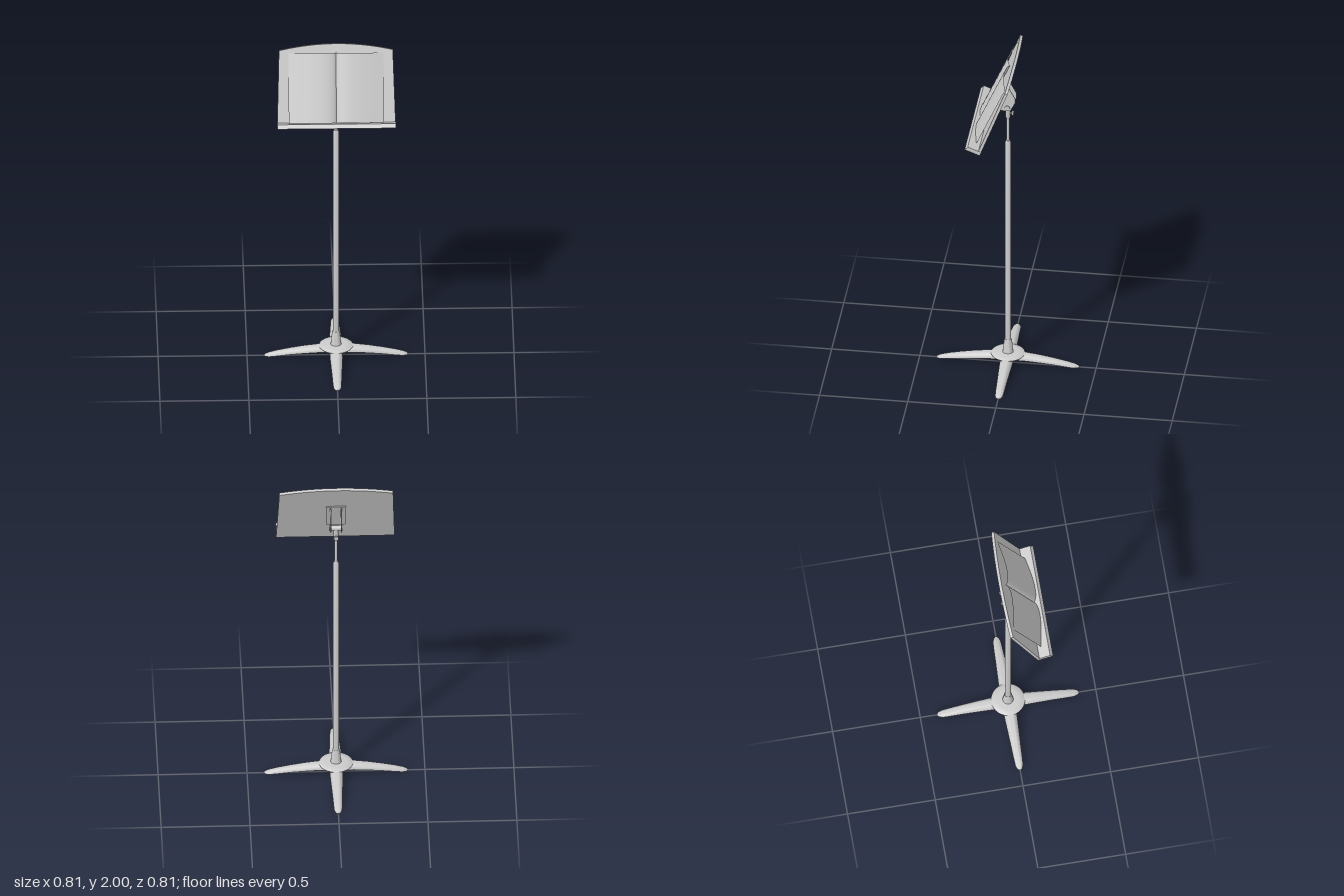
import * as THREE from 'three';
import { toCreasedNormals } from 'three/addons/utils/BufferGeometryUtils.js';

const material = new THREE.MeshStandardMaterial({ color: 0xcccccc });
const thinMaterial = new THREE.MeshStandardMaterial({ color: 0xcccccc, side: THREE.DoubleSide });

function addMesh(parent, name, geometry, mat = material) {
  const mesh = new THREE.Mesh(geometry, mat);
  mesh.name = name;
  parent.add(mesh);
  return mesh;
}

const points = (list) => list.map(([x, y]) => new THREE.Vector2(x, y));

function lathe(profile, segments = 24) {
  return toCreasedNormals(new THREE.LatheGeometry(points(profile), segments), 0.6);
}

// Side profile given as [z, y], extruded across x and centred on x = 0
function sideExtrude(profile, width) {
  const g = new THREE.ExtrudeGeometry(new THREE.Shape(points(profile)), { depth: width, bevelEnabled: false });
  return g.translate(0, 0, -width / 2).rotateY(-Math.PI / 2);
}

// Leg along +z: domed top, flat arched underside, rounded tip
function legGeometry() {
  // distance, half width, top, underside
  const sections = [
    [0, 0.038, 0.068, 0.036], [0.1, 0.036, 0.066, 0.034], [0.18, 0.032, 0.057, 0.027],
    [0.26, 0.028, 0.044, 0.018], [0.33, 0.025, 0.03, 0.008], [0.375, 0.022, 0.018, 0.002],
    [0.395, 0.015, 0.011, 0], [0.405, 0.004, 0.005, 0],
  ];
  const arc = 12, ring = arc + 1, pos = [], index = [];
  for (const [d, w, top, low] of sections) {
    for (let i = 0; i <= arc; i++) {
      const a = (Math.PI * i) / arc;
      pos.push(w * Math.cos(a), low + (top - low) * Math.sin(a), d);
    }
  }
  for (let s = 0; s < sections.length - 1; s++) {
    for (let i = 0; i < ring; i++) {
      const j = (i + 1) % ring;
      const a = s * ring + i, b = s * ring + j, c = a + ring, d = b + ring;
      index.push(a, b, c, b, d, c);
    }
  }
  const last = (sections.length - 1) * ring;
  for (let i = 1; i < arc; i++) index.push(last, last + i, last + i + 1);
  const g = new THREE.BufferGeometry();
  g.setAttribute('position', new THREE.Float32BufferAttribute(pos, 3));
  g.setIndex(index);
  // winding runs a -> next around the section -> outwards
  return toCreasedNormals(g, 0.7);
}

// Open book: two bowed pages meeting at the spine
function bookGeometry(length) {
  const half = new THREE.SplineCurve(points([
    [0, 0], [0.012, 0.01], [0.04, 0.019], [0.08, 0.022], [0.14, 0.018], [0.2, 0.008], [0.268, -0.006],
  ])).getPoints(20);
  const row = [...half.slice(1).reverse().map((p) => [-p.x, p.y]), ...half.map((p) => [p.x, p.y])];
  const g = new THREE.PlaneGeometry(1, length, row.length - 1, 1);
  const p = g.attributes.position;
  for (let i = 0; i < p.count; i++) {
    const [x, n] = row[i % row.length];
    p.setXYZ(i, x, p.getY(i) + length / 2, n);
  }
  return toCreasedNormals(g, 0.5);
}

export function createModel() {
  const model = new THREE.Group();
  model.name = 'musicStand';

  // Base
  const base = new THREE.Group();
  base.name = 'base';
  model.add(base);
  for (let i = 0; i < 4; i++) addMesh(base, 'leg', legGeometry()).rotation.y = (i * Math.PI) / 2;
  addMesh(base, 'hub', lathe([
    [0, 0.034], [0.055, 0.036], [0.08, 0.046], [0.096, 0.062], [0.09, 0.067], [0.06, 0.07], [0, 0.072],
  ], 32));
  addMesh(base, 'collar', lathe([
    [0, 0.065], [0.032, 0.065], [0.028, 0.08], [0.023, 0.14], [0.019, 0.155], [0, 0.155],
  ]));

  // Telescopic pole
  addMesh(model, 'outerTube', lathe([
    [0, 0.1], [0.018, 0.1], [0.018, 1.445], [0.012, 1.465], [0, 1.465],
  ]));
  addMesh(model, 'innerTube', lathe([
    [0, 1.4], [0.009, 1.4], [0.009, 1.64], [0, 1.64],
  ]));
  addMesh(model, 'poleHead', lathe([
    [0, 1.605], [0.009, 1.605], [0.014, 1.62], [0.014, 1.7], [0, 1.7],
  ]));

  // Clamp screw on the back of the head
  const screw = addMesh(model, 'clampScrew', lathe([
    [0, 0], [0.005, 0], [0.005, 0.018], [0.014, 0.018], [0.014, 0.028], [0, 0.028],
  ], 16));
  screw.rotation.x = -Math.PI / 2;
  screw.position.set(0, 1.643, -0.005);

  // Tilt bracket
  const bracket = new THREE.Group();
  bracket.name = 'tiltBracket';
  model.add(bracket);
  const cheek = [[0.07, 1.675], [0.003, 1.848], [-0.045, 1.757], [-0.045, 1.73], [-0.017, 1.675]];
  for (const side of [-1, 1]) {
    addMesh(bracket, 'bracketCheek', sideExtrude(cheek, 0.006)).position.x = side * 0.03;
  }
  const pivot = addMesh(bracket, 'pivotBolt', new THREE.CylinderGeometry(0.015, 0.015, 0.076, 20));
  pivot.rotation.z = Math.PI / 2;
  pivot.position.set(0, 1.695, 0);

  // Tilted desk: local y runs up the panel, local z out of its face
  const desk = new THREE.Group();
  desk.name = 'desk';
  desk.position.set(0, 1.553, 0.115);
  desk.rotation.x = -THREE.MathUtils.degToRad(21);
  model.add(desk);
  const outline = new THREE.Shape();
  outline.moveTo(-0.333, 0);
  outline.lineTo(0.333, 0);
  outline.lineTo(0.32, 0.435);
  outline.quadraticCurveTo(0, 0.509, -0.32, 0.435);
  addMesh(desk, 'deskPanel', toCreasedNormals(
    new THREE.ExtrudeGeometry(outline, { depth: 0.017, bevelEnabled: false, curveSegments: 24 }), 0.5));
  addMesh(desk, 'lip', sideExtrude([[0, 0], [0.092, 0], [0.082, 0.024], [0, 0.024]], 0.666));
  const plate = addMesh(desk, 'bracketPlate', new THREE.BoxGeometry(0.11, 0.18, 0.006));
  plate.position.set(0, 0.222, -0.003);

  // Open book leaning on the desk
  const book = addMesh(model, 'openBook', bookGeometry(0.395), thinMaterial);
  book.position.set(0, 1.593, 0.148);
  book.rotation.x = -THREE.MathUtils.degToRad(24);

  return model;
}
